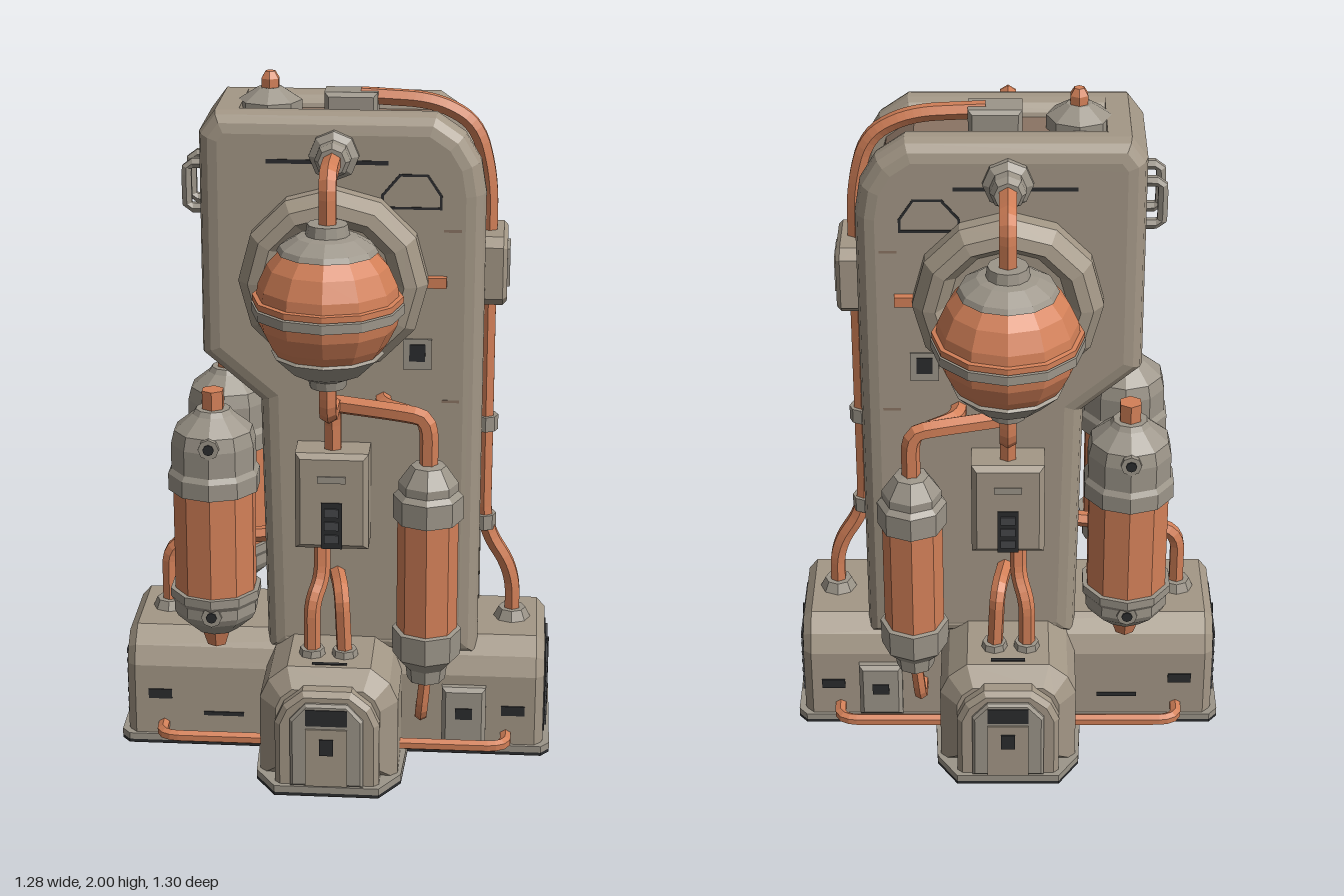
import * as THREE from 'three';

const mat = (name, color) => { const m = new THREE.MeshStandardMaterial({ color }); m.name = name; return m; };
const V = (x, y, z) => new THREE.Vector3(x, y, z);

export function createModel() {
  const root = new THREE.Group();
  root.name = 'processingPlant';
  const hull = mat('taupe hull', 0xa39786);
  const trim = mat('grey trim', 0x9c9589);
  const copper = mat('copper', 0xd38058);
  const brown = mat('brown recess', 0x8a7463);
  const dark = mat('dark vents', 0x2b2c2e);
  const slat = mat('vent slats', 0x46474a);

  // Faceted mesh
  const add = (name, geo, m, x = 0, y = 0, z = 0) => {
    const g = geo.index ? geo.toNonIndexed() : geo;
    g.computeVertexNormals();
    const mesh = new THREE.Mesh(g, m);
    mesh.name = name;
    mesh.position.set(x, y, z);
    root.add(mesh);
    return mesh;
  };
  const box = (name, m, w, h, d, x, y, z) => add(name, new THREE.BoxGeometry(w, h, d), m, x, y, z);
  const lathe = (pts, n) => new THREE.LatheGeometry(pts.map(p => new THREE.Vector2(p[0], p[1])), n);
  // Bevelled slab centred on z, keeping the outline of the points
  const slab = (pts, thick, b, segs = 1, hole) => {
    const s = new THREE.Shape(pts.map(p => new THREE.Vector2(p[0], p[1])));
    if (hole) s.holes.push(new THREE.Path(hole.map(p => new THREE.Vector2(p[0], p[1]))));
    const depth = thick - 2 * b;
    return new THREE.ExtrudeGeometry(s, {
      depth, bevelEnabled: b > 0, bevelThickness: b, bevelSize: b, bevelOffset: -b, bevelSegments: segs,
    }).translate(0, 0, -depth / 2);
  };
  // Pipe through points with rounded corners
  const pipe = (name, pts, r = 0.022, bend = 0.05, m = copper) => {
    const path = new THREE.CurvePath();
    const p = pts.map(q => V(...q));
    let from = p[0];
    for (let i = 1; i < p.length - 1; i++) {
      const toward = q => {
        const d = q.clone().sub(p[i]);
        return p[i].clone().add(d.setLength(Math.min(bend, d.length() * 0.45)));
      };
      const a = toward(p[i - 1]), b = toward(p[i + 1]);
      path.add(new THREE.LineCurve3(from, a));
      path.add(new THREE.QuadraticBezierCurve3(a, p[i], b));
      from = b;
    }
    path.add(new THREE.LineCurve3(from, p[p.length - 1]));
    return add(name, new THREE.TubeGeometry(path, Math.max(8, Math.ceil(path.getLength() / 0.022)), r, 6), m);
  };

  // Cross-shaped base: side arms, and front and back arms with a narrower nose
  const arm = (w, h) => [[-w, 0.01], [w, 0.01], [w, h - 0.1], [w - 0.025, h - 0.045], [w - 0.08, h],
    [-w + 0.08, h], [-w + 0.025, h - 0.045], [-w, h - 0.1]];
  add('sideArms', slab(arm(0.22, 0.35), 1.24, 0.025).rotateY(Math.PI / 2), hull);
  add('frontAndBackArms', slab(arm(0.2, 0.36), 0.94, 0.05), hull);
  add('armNoses', slab(arm(0.15, 0.32), 1.02, 0.015), hull);
  const quarter = [[0.64, 0.2], [0.615, 0.23], [0.22, 0.23], [0.21, 0.43], [0.15, 0.525]];
  const flip = (pts, sx, sy) => pts.map(p => [p[0] * sx, p[1] * sy]);
  const cross = [...quarter, ...flip(quarter, -1, 1).reverse(), ...flip(quarter, -1, -1), ...flip(quarter, 1, -1).reverse()];
  add('underside', slab(cross, 0.01, 0).rotateX(Math.PI / 2), dark, 0, 0.005, 0);
  add('footPlate', slab(cross, 0.02, 0).rotateX(Math.PI / 2), trim, 0, 0.02, 0);

  // Tower core, seen in the channel and recesses
  const core = [[-0.19, 0.3], [0.37, 0.3], [0.37, 1.72], [0.34, 1.82], [0.26, 1.88], [-0.33, 1.88],
    [-0.36, 1.84], [-0.36, 1.23], [-0.2, 1.09]];
  add('towerCore', slab(core, 0.3, 0.01), brown);
  // Closed narrow side of the tower
  add('towerEndWall', slab([[-0.2, 0.3], [-0.12, 0.3], [-0.12, 1.15], [-0.27, 1.25], [-0.27, 1.92], [-0.335, 1.92],
    [-0.38, 1.86], [-0.38, 1.22], [-0.215, 1.08]], 0.28, 0), hull);
  const wall = [[-0.2, 0.3], [0.42, 0.3], [0.42, 1.7], [0.405, 1.79], [0.36, 1.865], [0.28, 1.92],
    [-0.335, 1.92], [-0.38, 1.86], [-0.38, 1.22], [-0.215, 1.08]];
  const opening = [[-0.09, 0.4], [-0.09, 1.1], [0.02, 1.25], [0.23, 1.25], [0.23, 0.4]];

  // Parts repeated on the front and the back
  for (const s of [1, -1]) {
    add('towerWall', slab(wall, 0.135, 0.055, 3, opening), hull, 0, 0, s * 0.1365);

    // Dished mount and sphere tank
    add('sphereMount', lathe([[0.265, 0], [0.265, 0.06], [0.235, 0.1], [0.2, 0.108], [0.165, 0.06], [0, 0.05]], 12)
      .rotateX(s * Math.PI / 2), hull, 0, 1.46, s * 0.19);
    const ball = [[0.13, 1.3], [0.165, 1.35], [0.19, 1.40], [0.198, 1.45], [0.19, 1.51], [0.165, 1.565], [0.12, 1.615]];
    add('sphereTank', lathe(ball, 12), copper, 0, 0, s * 0.44);
    add('sphereTopCap', lathe([[0.12, 1.6], [0.138, 1.603], [0.13, 1.618], [0.085, 1.645], [0.06, 1.65],
      [0.055, 1.68], [0, 1.68]], 12), trim, 0, 0, s * 0.44);
    add('sphereBottomCap', lathe([[0, 1.22], [0.05, 1.22], [0.055, 1.245], [0.1, 1.265], [0.155, 1.318], [0.14, 1.33]], 12),
      trim, 0, 0, s * 0.44);
    add('sphereUpperBelt', lathe([[0.18, -0.012], [0.206, -0.009], [0.206, 0.008], [0.18, 0.012]], 12), copper, 0, 1.472, s * 0.44);
    add('sphereLowerBelt', lathe([[0.18, -0.016], [0.209, -0.013], [0.209, 0.013], [0.18, 0.016]], 12), trim, 0, 1.446, s * 0.44);

    // Upper and lower sphere pipes
    pipe('upperSpherePipe', [[0, 1.66, s * 0.44], [0, 1.81, s * 0.44], [0, 1.81, s * 0.24]], 0.027, 0.06);
    add('pipeNozzle', lathe([[0.07, 0], [0.07, 0.03], [0.05, 0.045], [0.05, 0.08], [0.038, 0.1], [0, 0.1]], 8)
      .rotateX(s * Math.PI / 2), trim, 0, 1.81, s * 0.19);
    pipe('lowerSpherePipe', [[0, 1.25, s * 0.44], [0, 1.12, s * 0.44], [0, 1.12, s * 0.26], [0, 0.94, s * 0.25]], 0.027, 0.07);
    pipe('crossPipe', [[0, 1.11, s * 0.27], [0.2, 1.1, s * 0.31], [0.275, 1.09, s * 0.32], [0.275, 0.92, s * 0.32]], 0.027, 0.06);
    pipe('wallFeedPipe', [[0.14, 1.1, s * 0.14], [0.14, 1.1, s * 0.25], [0.22, 1.1, s * 0.31]], 0.025, 0.04);
    add('pipeSocket', lathe([[0.045, 0], [0.045, 0.03], [0, 0.03]], 8).rotateX(s * Math.PI / 2), trim, 0.14, 1.1, s * 0.15);

    // Slim tank
    const slim = { x: 0.275, z: s * 0.32 };
    add('slimTank', lathe([[0.087, 0.43], [0.087, 0.82]], 8), copper, slim.x, 0, slim.z);
    add('slimTankTop', lathe([[0.08, 0.79], [0.1, 0.79], [0.1, 0.86], [0.085, 0.875], [0.085, 0.9], [0.05, 0.95], [0, 0.96]], 8),
      trim, slim.x, 0, slim.z);
    add('slimTankBottom', lathe([[0, 0.29], [0.055, 0.29], [0.06, 0.33], [0.098, 0.37], [0.1, 0.45], [0.08, 0.455]], 8),
      trim, slim.x, 0, slim.z);
    pipe('slimTankDrain', [[slim.x, 0.31, slim.z], [0.26, 0.15, s * 0.31], [0.26, 0.15, s * 0.2]], 0.02, 0.05);

    // Wide tank
    const wx = -0.35, wz = s * 0.19;
    add('wideTank', lathe([[0.121, 0.48], [0.121, 0.84]], 10), copper, wx, 0, wz);
    add('wideTankTop', lathe([[0.11, 0.82], [0.135, 0.82], [0.135, 0.87], [0.125, 0.885], [0.125, 0.96], [0.115, 1.0],
      [0.06, 1.045], [0.05, 1.06], [0, 1.06]], 10), trim, wx, 0, wz);
    add('wideTankBottom', lathe([[0, 0.37], [0.065, 0.375], [0.115, 0.42], [0.125, 0.44], [0.125, 0.47], [0.135, 0.485],
      [0.135, 0.51], [0.11, 0.51]], 10), trim, wx, 0, wz);
    add('wideTankOutlet', new THREE.CylinderGeometry(0.034, 0.034, 0.08, 6), copper, wx, 1.075, wz);
    add('wideTankDrain', new THREE.CylinderGeometry(0.05, 0.03, 0.06, 6), copper, wx, 0.35, wz);
    for (const y of [0.455, 0.975]) {
      add('tankPortRim', new THREE.CylinderGeometry(0.03, 0.03, 0.03, 8).rotateX(Math.PI / 2), trim, wx, y, wz + s * 0.11);
      add('tankPort', new THREE.CylinderGeometry(0.016, 0.016, 0.008, 8).rotateX(Math.PI / 2), dark, wx, y, wz + s * 0.125);
    }

    // Control box with meter and its two feed pipes
    add('controlBox', slab([[-0.105, 0.68], [0.105, 0.68], [0.105, 0.97], [-0.105, 0.97]], 0.13, 0.015), hull, 0, 0, s * 0.25);
    box('controlSlot', dark, 0.06, 0.14, 0.008, 0, 0.755, s * 0.315);
    for (let i = 0; i < 3; i++) box('controlKey', slat, 0.042, 0.026, 0.008, 0, 0.715 + i * 0.04, s * 0.319);
    box('controlLatch', trim, 0.08, 0.02, 0.008, 0, 0.895, s * 0.316);
    pipe('feedPipe', [[-0.03, 0.7, s * 0.26], [-0.03, 0.58, s * 0.28], [-0.055, 0.52, s * 0.33], [-0.055, 0.33, s * 0.33]], 0.024, 0.04);
    pipe('feedPipe', [[0.0, 0.56, s * 0.15], [0.03, 0.56, s * 0.33], [0.04, 0.33, s * 0.33]], 0.024, 0.06);
    for (const x of [-0.055, 0.04])
      add('feedCollar', new THREE.CylinderGeometry(0.035, 0.04, 0.03, 8), trim, x, 0.365, s * 0.33);

    // Wall details
    box('wallSlot', dark, 0.34, 0.012, 0.008, -0.02, 1.79, s * 0.202);
    add('hatch', slab([[0.13, 1.66], [0.3, 1.66], [0.3, 1.7], [0.26, 1.76], [0.18, 1.76], [0.13, 1.7]], 0.008, 0, 1,
      [[0.138, 1.667], [0.138, 1.698], [0.184, 1.753], [0.257, 1.753], [0.293, 1.698], [0.293, 1.667]]), dark, 0, 0, s * 0.202);
    box('wallBar', copper, 0.1, 0.03, 0.04, 0.265, 1.455, s * 0.207);
    box('wallSocket', trim, 0.08, 0.09, 0.04, 0.235, 1.24, s * 0.19);
    box('wallSocketHole', dark, 0.045, 0.05, 0.008, 0.235, 1.245, s * 0.209);
    for (const y of [0.72, 1.1, 1.6]) box('columnSeam', brown, 0.05, 0.008, 0.006, 0.33, y, s * 0.202);

    // Door in the arm end
    const doorway = [[-0.105, 0.03], [0.105, 0.03], [0.105, 0.24], [0.06, 0.29], [-0.06, 0.29], [-0.105, 0.24]];
    add('doorFrame', slab(doorway, 0.03, 0.008), trim, 0, 0, s * 0.51);
    box('door', hull, 0.12, 0.18, 0.01, 0, 0.125, s * 0.525);
    box('doorWindow', dark, 0.12, 0.05, 0.008, 0, 0.25, s * 0.524);
    box('doorPanel', dark, 0.04, 0.05, 0.006, 0, 0.16, s * 0.531);
    box('armTopSlot', dark, 0.1, 0.006, 0.012, 0, 0.36, s * 0.4);

    // Side arm panels and floor pipes
    add('armHatch', slab([[0.32, 0.04], [0.45, 0.04], [0.45, 0.22], [0.32, 0.22]], 0.05, 0.012), trim, 0, 0, s * 0.225);
    box('armHatchMark', dark, 0.05, 0.035, 0.006, 0.385, 0.14, s * 0.251);
    box('armSlot', dark, 0.07, 0.03, 0.006, -0.52, 0.16, s * 0.221);
    box('armSlot', dark, 0.07, 0.03, 0.006, 0.53, 0.14, s * 0.221);
    box('armSlot', dark, 0.12, 0.012, 0.006, -0.33, 0.1, s * 0.221);
    for (const t of [1, -1])
      pipe('floorPipe', [[t * 0.51, 0.06, s * 0.2], [t * 0.51, 0.06, s * 0.295], [t * 0.18, 0.06, s * 0.295]], 0.018, 0.06);

    // Grab handle on the narrow side
    pipe('grabHandle', [[-0.37, 1.745, s * 0.055], [-0.43, 1.745, s * 0.055], [-0.43, 1.615, s * 0.055], [-0.37, 1.615, s * 0.055]],
      0.016, 0.02, trim);
  }

  // Grilles on both arm ends
  for (const t of [1, -1]) {
    box('grilleBack', dark, 0.008, 0.24, 0.29, t * 0.621, 0.16, 0);
    for (let i = 0; i < 7; i++) box('grilleSlat', slat, 0.014, 0.014, 0.28, t * 0.624, 0.065 + i * 0.032, 0);
    box('grillePost', dark, 0.016, 0.24, 0.012, t * 0.626, 0.16, 0);
  }

  // Main riser pipe in the channel, with clamps
  pipe('riserPipe', [[0.06, 1.935, 0], [0.27, 1.925, 0], [0.39, 1.86, 0], [0.43, 1.7, 0], [0.43, 0.64, 0], [0.52, 0.5, 0], [0.52, 0.33, 0]],
    0.025, 0.08);
  for (const y of [0.66, 0.97]) add('riserClamp', new THREE.CylinderGeometry(0.036, 0.036, 0.045, 8), trim, 0.43, y, 0);
  add('riserFlange', new THREE.CylinderGeometry(0.04, 0.06, 0.04, 8), trim, 0.52, 0.36, 0);
  add('riserJunction', slab([[-0.12, 1.38], [-0.09, 1.355], [0.09, 1.355], [0.12, 1.38], [0.12, 1.53], [0.09, 1.555],
    [-0.09, 1.555], [-0.12, 1.53]], 0.075, 0.012).rotateY(Math.PI / 2), hull, 0.445, 0, 0);
  box('junctionPlate', trim, 0.012, 0.11, 0.11, 0.484, 1.455, 0);

  // Low pipe on the narrow side
  pipe('lowSidePipe', [[-0.515, 0.33, 0], [-0.515, 0.56, 0], [-0.17, 0.6, 0]], 0.024, 0.07);
  add('lowSideFlange', new THREE.CylinderGeometry(0.04, 0.055, 0.035, 8), trim, -0.515, 0.36, 0);
  box('sideWallPlate', trim, 0.008, 0.1, 0.09, -0.382, 1.38, 0);

  // Roof vent and pipe housing
  add('roofVent', lathe([[0.09, 1.87], [0.09, 1.92], [0.035, 1.955], [0, 1.955]], 8), trim, -0.195, 0, 0);
  add('roofNozzle', lathe([[0.028, 1.94], [0.028, 1.98], [0.015, 2.0], [0, 2.0]], 6), copper, -0.195, 0, 0);
  add('roofPipeHousing', slab([[-0.04, 1.87], [0.11, 1.87], [0.11, 1.95], [-0.04, 1.95]], 0.1, 0.012), trim);
  return root;
}
